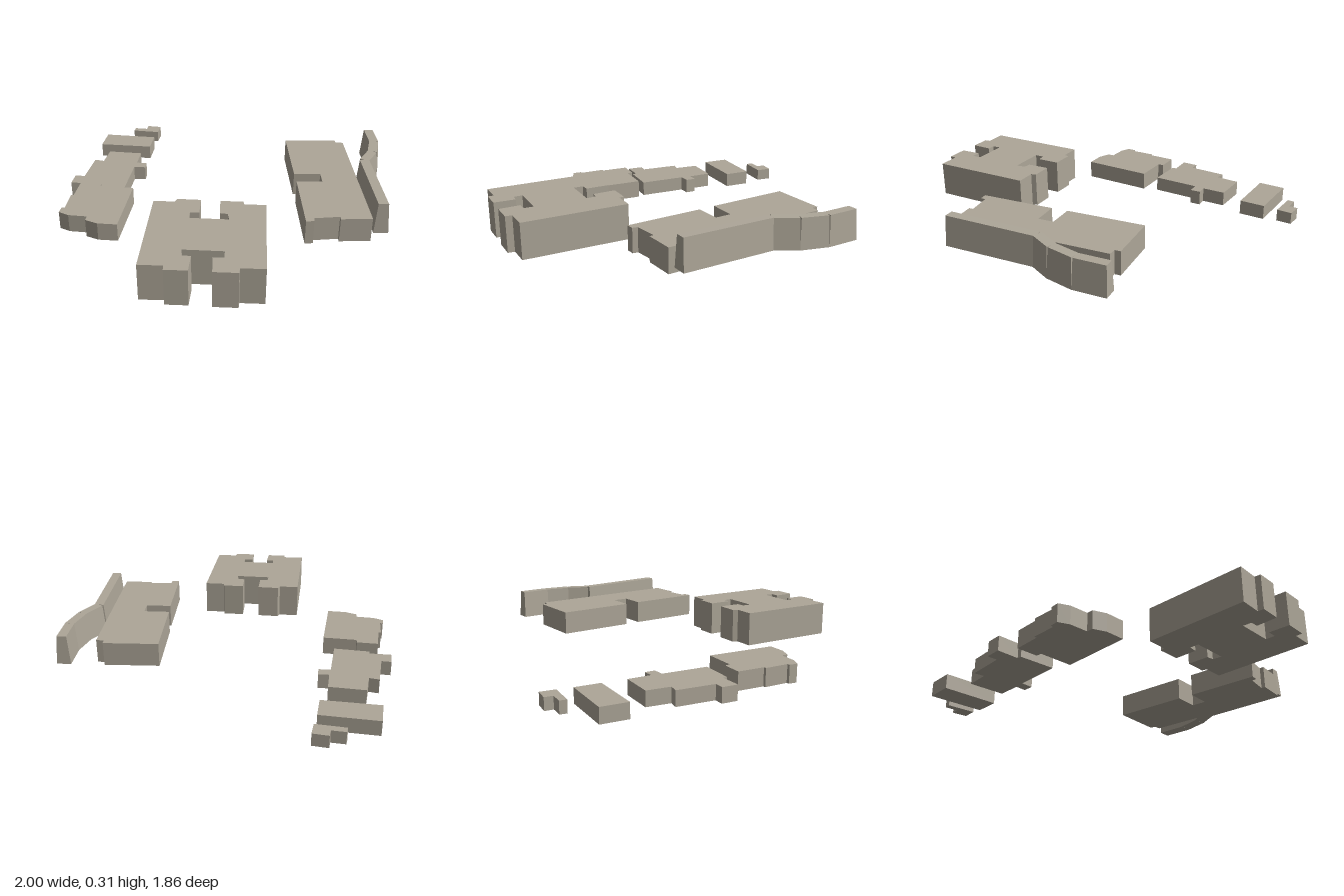
import * as THREE from 'three';

const stone = new THREE.MeshStandardMaterial({ color: 0xada698 });
stone.name = 'warm grey stone';

// Flat-roofed block: footprint as x, z pairs, raised from y0 to y1
function block(name, y0, y1, plan) {
  const pts = [];
  for (let i = 0; i < plan.length; i += 2) pts.push(new THREE.Vector2(plan[i], -plan[i + 1]));
  const geo = new THREE.ExtrudeGeometry(new THREE.Shape(pts), { depth: y1 - y0, bevelEnabled: false });
  geo.rotateX(-Math.PI / 2).translate(0, y0, 0);
  const mesh = new THREE.Mesh(geo, stone);
  mesh.name = name;
  return mesh;
}

// Straight wall between two stations [x, z, bottom, top], thicker at its foot
function wallSegment(a, b, name) {
  const geo = new THREE.BoxGeometry(1, 1, 1);
  const pos = geo.attributes.position;
  const dx = b[0] - a[0], dz = b[1] - a[1], len = Math.hypot(dx, dz);
  for (let i = 0; i < pos.count; i++) {
    const t = pos.getX(i) + 0.5, up = pos.getY(i) > 0;
    const side = pos.getZ(i) * (up ? 0.05 : 0.074);
    const end = (t - 0.5) * (up ? 0 : 0.01);
    const at = (k) => a[k] + (b[k] - a[k]) * t;
    pos.setXYZ(i,
      at(0) + (dx / len) * end - (dz / len) * side,
      at(up ? 3 : 2),
      at(1) + (dz / len) * end + (dx / len) * side);
  }
  geo.computeVertexNormals();
  const mesh = new THREE.Mesh(geo, stone);
  mesh.name = name;
  return mesh;
}

export function createModel() {
  const model = new THREE.Group();
  model.name = 'buildingCluster';

  // Row of low buildings on the right, stepping up towards the front
  model.add(block('smallShed', 0.015, 0.08, [
    -0.917, -0.342, -0.848, -0.388, -0.8, -0.32, -0.928, -0.23, -0.949, -0.262, -0.89, -0.305]));
  model.add(block('plainBlock', 0, 0.08, [
    -0.757, -0.251, -0.671, -0.139, -0.912, 0.048, -1, -0.07]));
  model.add(block('middleBlock', 0.01, 0.09, [
    -0.623, -0.025, -0.543, 0.075, -0.5, 0.037, -0.463, 0.08, -0.511, 0.123, -0.356, 0.326,
    -0.511, 0.439, -0.527, 0.422, -0.618, 0.497, -0.671, 0.428, -0.628, 0.396, -0.751, 0.225,
    -0.703, 0.198, -0.778, 0.091]));
  model.add(block('bayFrontBlock', 0.028, 0.125, [
    -0.27, 0.332, -0.035, 0.636, -0.115, 0.7, -0.184, 0.722, -0.206, 0.695, -0.286, 0.754,
    -0.345, 0.77, -0.372, 0.733, -0.361, 0.722, -0.447, 0.62, -0.436, 0.61, -0.527, 0.492,
    -0.436, 0.422, -0.414, 0.444]));

  // Tall building with a notched court on two sides
  model.add(block('courtBuilding', 0.087, 0.27, [
    0.532, 0.155, 0.885, 0.561, 0.8, 0.636, 0.821, 0.663, 0.735, 0.738, 0.66, 0.658,
    0.698, 0.626, 0.666, 0.588, 0.521, 0.711, 0.553, 0.743, 0.586, 0.717, 0.655, 0.802,
    0.575, 0.872, 0.553, 0.85, 0.468, 0.928, 0.11, 0.513, 0.19, 0.444, 0.18, 0.417,
    0.27, 0.342, 0.35, 0.433, 0.318, 0.465, 0.35, 0.503, 0.495, 0.38, 0.457, 0.348,
    0.425, 0.369, 0.345, 0.283, 0.43, 0.209, 0.452, 0.225]));

  // Long building with a single recess
  model.add(block('longBuilding', 0.115, 0.24, [
    0.291, -0.738, 0.313, -0.717, 0.345, -0.743, 0.949, -0.144, 0.842, -0.032, 0.826, -0.048,
    0.746, 0.048, 0.762, 0.07, 0.735, 0.1, 0.452, -0.182, 0.548, -0.278, 0.489, -0.337,
    0.388, -0.241, 0.088, -0.535]));

  // Battered wall bending behind the long building
  const wall = new THREE.Group();
  wall.name = 'bentWall';
  const stations = [
    [0.407, -0.904, 0.137, 0.29], [0.521, -0.789, 0.138, 0.291], [0.591, -0.668, 0.14, 0.294],
    [0.623, -0.545, 0.142, 0.297], [0.966, -0.199, 0.147, 0.305]];
  for (let i = 0; i < stations.length - 1; i++) {
    wall.add(wallSegment(stations[i], stations[i + 1], `wallSegment${i + 1}`));
  }
  model.add(wall);
  return model;
}
